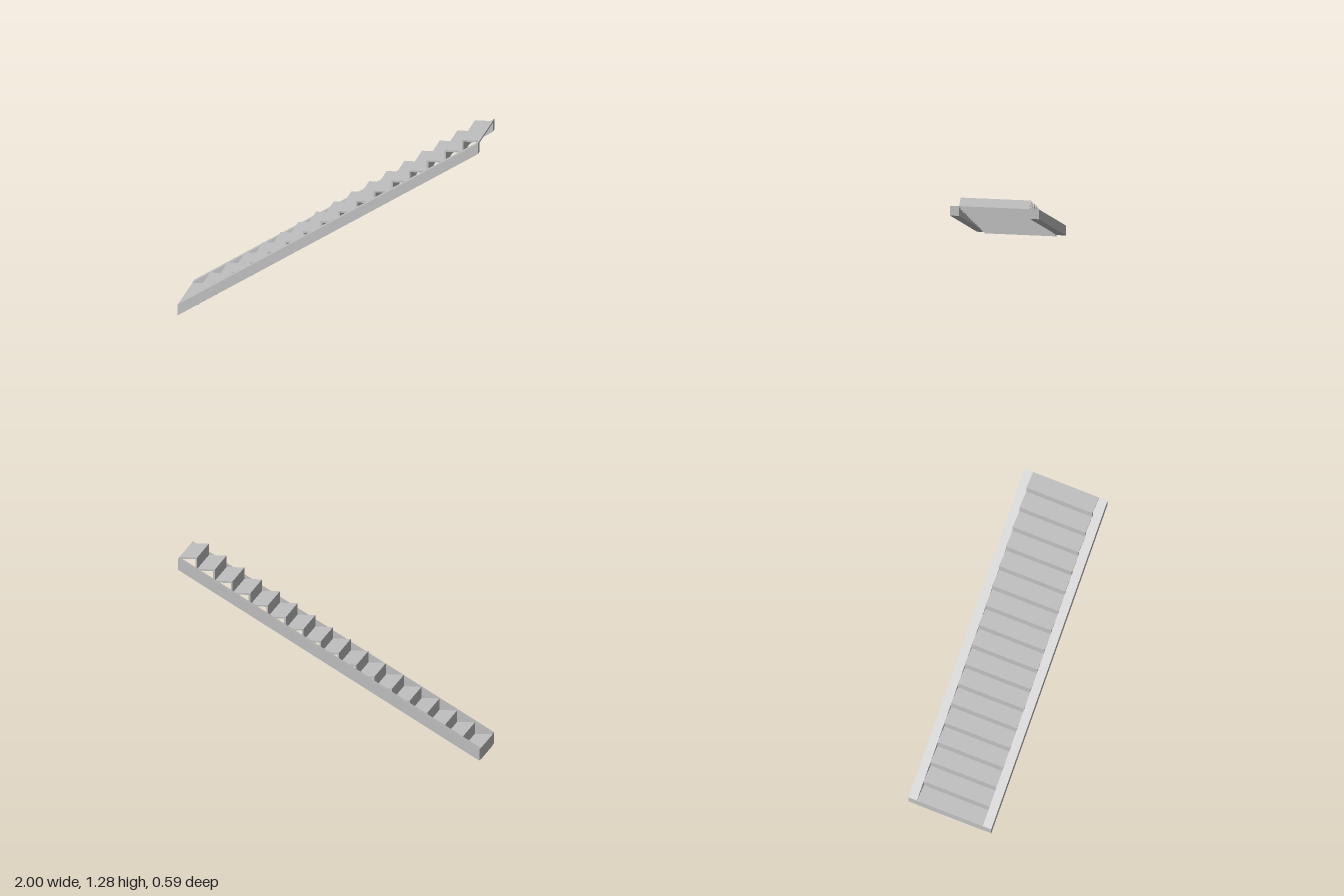
import * as THREE from 'three';

export function createModel() {
  const group = new THREE.Group();
  group.name = 'staircase';
  const grey = new THREE.MeshStandardMaterial({ color: 0xc0c0c0 });
  grey.name = 'light grey';

  const steps = 17, height = 1.285, thick = 0.011;
  const run = 2 / steps, rise = height / steps;
  const inner = 0.233, outer = 0.293;

  // Box given by its x and y limits, spanning between the stringers
  function board(name, x0, x1, y0, y1) {
    const mesh = new THREE.Mesh(new THREE.BoxGeometry(x1 - x0, y1 - y0, inner * 2), grey);
    mesh.position.set((x0 + x1) / 2, (y0 + y1) / 2, 0);
    mesh.name = name;
    group.add(mesh);
  }

  // Risers and treads; each tread runs under the next riser
  for (let i = 0; i < steps; i++) {
    const x = -1 + i * run, top = (i + 1) * rise;
    board('riser' + (i + 1), x, x + thick, i * rise, top - thick);
    board('tread' + (i + 1), x, Math.min(x + run + thick, 1), top - thick, top);
  }

  // Sloping side stringers with upright ends
  const profile = new THREE.Shape([
    new THREE.Vector2(-1, 0.004), new THREE.Vector2(1, 1.212),
    new THREE.Vector2(1, height), new THREE.Vector2(-1, 0.078),
  ]);
  const side = new THREE.ExtrudeGeometry(profile, { depth: outer - inner, bevelEnabled: false });
  for (const [name, z] of [['frontStringer', inner], ['backStringer', -outer]]) {
    const mesh = new THREE.Mesh(side, grey);
    mesh.position.z = z;
    mesh.name = name;
    group.add(mesh);
  }
  return group;
}
